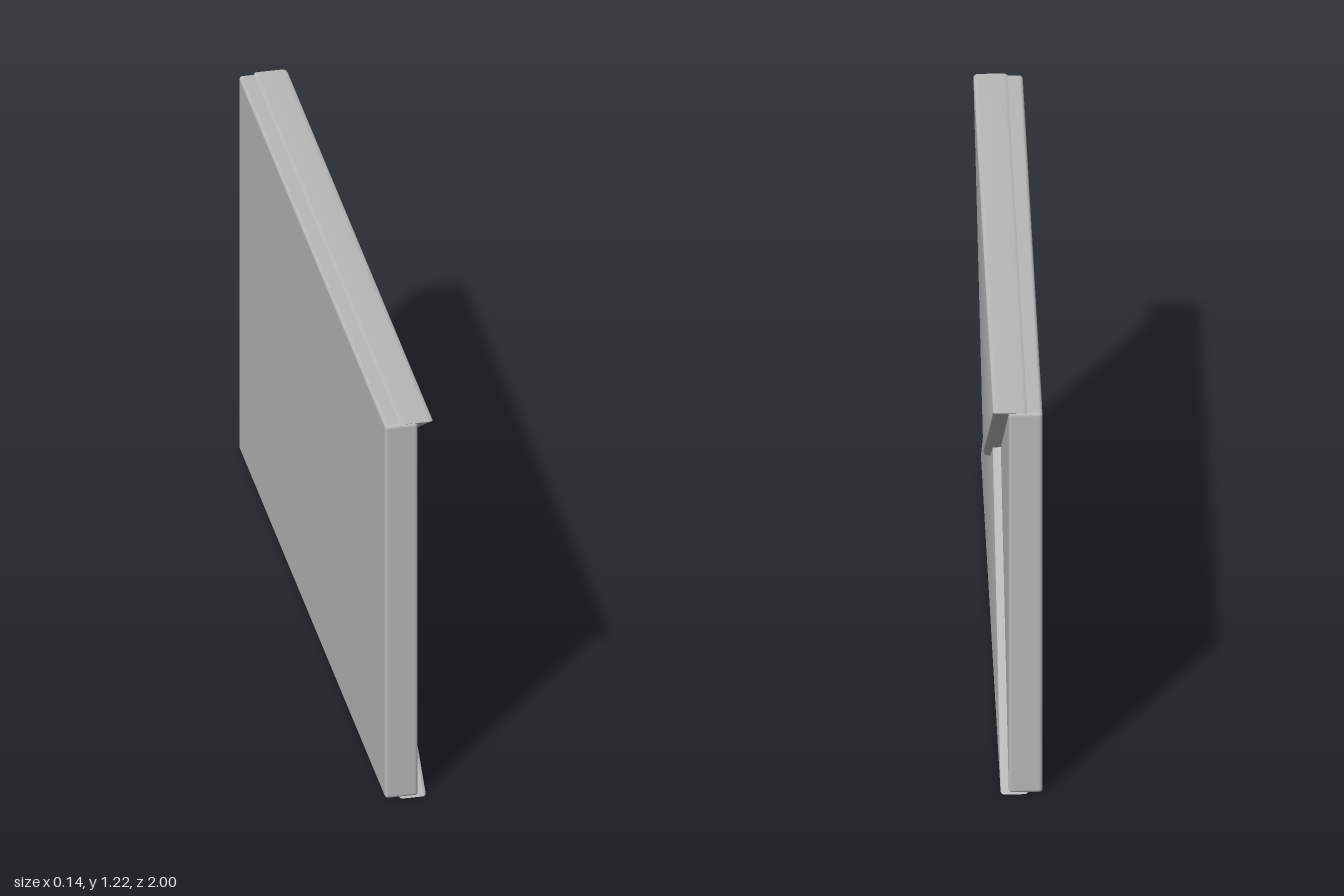
import * as THREE from 'three';
import { RoundedBoxGeometry } from 'three/addons/geometries/RoundedBoxGeometry.js';
import { toCreasedNormals } from 'three/addons/utils/BufferGeometryUtils.js';

const HEIGHT = 1.215;
const BACK = -0.07;

export function createModel() {
  const model = new THREE.Group();
  model.name = 'envelope';
  const paper = new THREE.MeshStandardMaterial({ color: 0xb8b8b8 });
  paper.name = 'paper grey';

  // Soft-edged triangular slab facing +x, from x = back to x = front
  function addFlap(name, points, back, front, bevel) {
    const shape = new THREE.Shape(points.map(([u, y]) => new THREE.Vector2(u, y)));
    const geometry = new THREE.ExtrudeGeometry(shape, {
      depth: front - back - 2 * bevel,
      bevelSize: bevel,
      bevelThickness: bevel,
      bevelOffset: -bevel,
      bevelSegments: 4,
    });
    geometry.translate(0, 0, back + bevel);
    geometry.rotateY(Math.PI / 2);
    const mesh = new THREE.Mesh(toCreasedNormals(geometry, 0.7), paper);
    mesh.name = name;
    model.add(mesh);
  }

  // Body, whose face also forms the two side flaps
  const front = 0.025;
  const body = new THREE.Mesh(
    new RoundedBoxGeometry(front - BACK, HEIGHT - 0.004, 1.996, 4, 0.01), paper);
  body.name = 'body';
  body.position.set((front + BACK) / 2, HEIGHT / 2, 0);
  model.add(body);

  // Bottom flap, tucked under the top flap
  addFlap('bottomFlap', [[-1, 0], [1, 0], [0, 0.83]], -0.03, 0.048, 0.01);

  // Top flap, folded down over the others
  addFlap('topFlap', [[-1, HEIGHT], [0, 0.54], [1, HEIGHT]], -0.03, 0.069, 0.013);

  return model;
}
